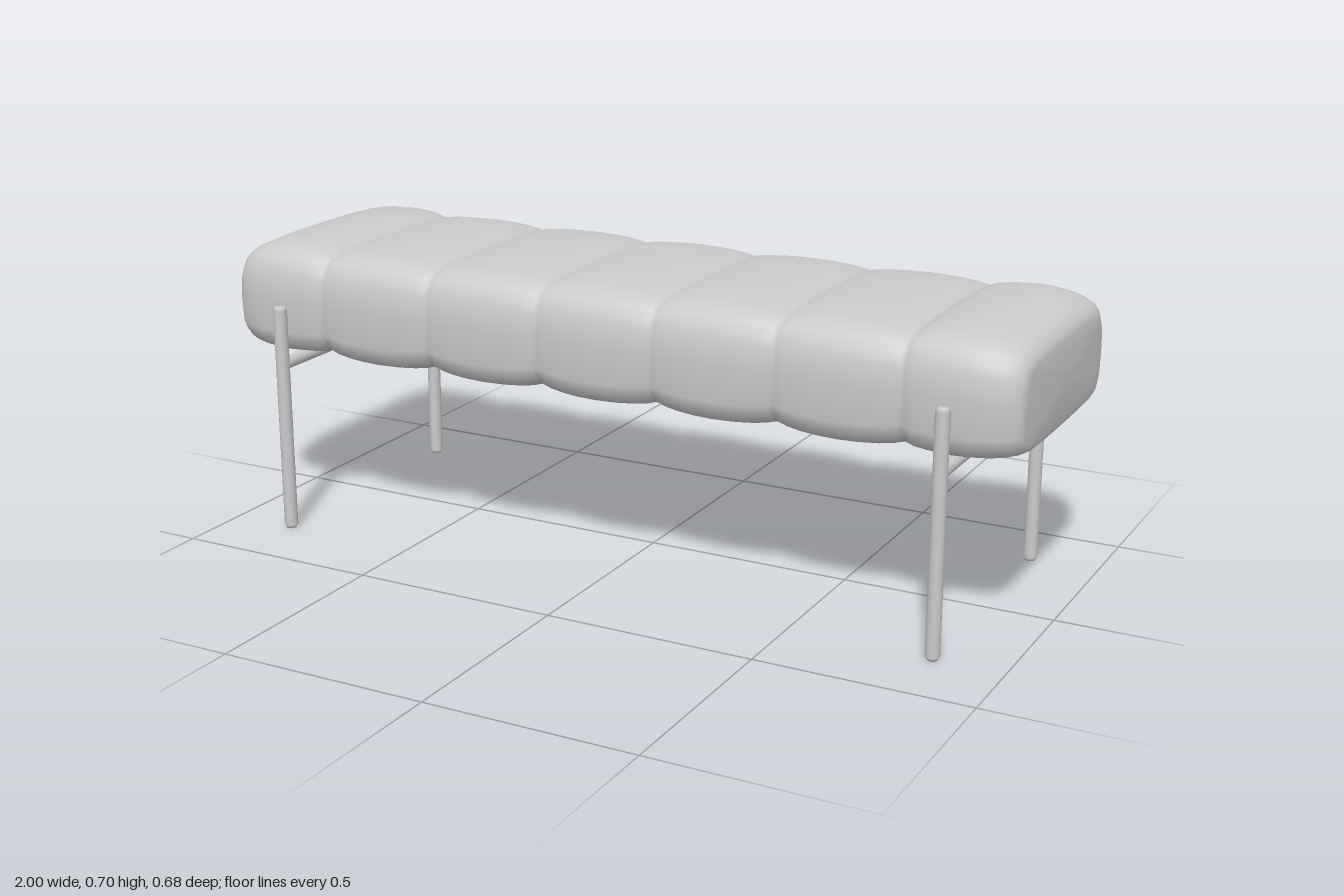
import * as THREE from 'three';

const grey = new THREE.MeshStandardMaterial({ color: 0xcccccc });

function addMesh(parent, geometry, name) {
  const mesh = new THREE.Mesh(geometry, grey);
  mesh.name = name;
  parent.add(mesh);
  return mesh;
}

// Round bar with small bevelled ends, centred on its own y axis
function barGeometry(radius, length, bevel) {
  const h = length / 2;
  const half = [[0, h], [radius * 0.7, h], [radius, h - bevel]];
  const profile = [
    ...half.map(([r, y]) => new THREE.Vector2(r, -y)),
    ...half.reverse().map(([r, y]) => new THREE.Vector2(r, y)),
  ];
  return new THREE.LatheGeometry(profile, 12);
}

// Cushion outline in (z, y), mirrored to a closed loop
function cushionOutline() {
  const side = [
    [0.07, 0.7], [0.14, 0.699], [0.22, 0.695], [0.255, 0.687], [0.28, 0.675], [0.294, 0.652],
    [0.305, 0.625], [0.31, 0.57], [0.305, 0.49], [0.295, 0.465], [0.28, 0.445],
    [0.255, 0.437], [0.22, 0.431], [0.14, 0.428], [0.07, 0.427],
  ];
  return [[0, 0.7], ...side, [0, 0.427], ...side.slice().reverse().map(([z, y]) => [-z, y])];
}

// Loft the outline along x: pinched at the seams, puffed between, rounded at the ends
function cushionGeometry() {
  const mid = 0.563;
  const outline = cushionOutline();
  const stations = []; // x, z scale, y scale, y shift
  const seams = [-0.735, -0.441, -0.147, 0.147, 0.441, 0.735];
  const steps = 10;
  for (let s = 0; s < seams.length - 1; s++) {
    for (let i = s ? 1 : 0; i <= steps; i++) {
      const t = (1 - Math.cos((Math.PI * i) / steps)) / 2;
      const puff = Math.pow(4 * t * (1 - t), 0.6);
      stations.push([seams[s] + t * 0.294, 0.95 + 0.048 * puff, 0.885 + 0.13 * puff, -0.004 * puff]);
    }
  }
  const end = [
    [0.742, 0.963, 0.92, 0], [0.76, 0.98, 0.96, 0], [0.79, 0.993, 0.988, 0.001], [0.84, 1, 1.01, 0.001],
    [0.88, 0.997, 1, 0.001], [0.92, 0.985, 0.965, 0], [0.95, 0.962, 0.92, -0.001],
    [0.972, 0.932, 0.86, -0.003], [0.985, 0.9, 0.795, -0.006], [0.991, 0.865, 0.735, -0.009],
    [0.994, 0.82, 0.67, -0.009], [0.997, 0.6, 0.48, -0.007], [1, 0.25, 0.2, -0.003], [1, 0, 0, 0],
  ];
  stations.push(...end);
  stations.unshift(...end.map(([x, ...rest]) => [-x, ...rest]).reverse());

  const n = outline.length;
  const positions = [];
  const index = [];
  stations.forEach(([x, sz, sy, dy], r) => {
    outline.forEach(([z, y], i) => {
      positions.push(x, mid + dy + (y - mid) * sy, z * sz);
      if (r === stations.length - 1) return;
      const a = r * n + i, b = r * n + ((i + 1) % n);
      index.push(a, b, a + n, b, b + n, a + n);
    });
  });
  const geometry = new THREE.BufferGeometry();
  geometry.setAttribute('position', new THREE.Float32BufferAttribute(positions, 3));
  geometry.setIndex(index);
  geometry.computeVertexNormals();
  // The collapsed end points face straight outwards
  const normals = geometry.attributes.normal;
  for (let i = 0; i < n; i++) {
    normals.setXYZ(i, -1, 0, 0);
    normals.setXYZ(normals.count - 1 - i, 1, 0, 0);
  }
  return geometry;
}

export function createModel() {
  const model = new THREE.Group();
  model.name = 'bench';
  addMesh(model, cushionGeometry(), 'cushion');

  // Two leg frames: a pair of posts joined by a crossbar
  const leg = barGeometry(0.0165, 0.56, 0.009);
  const crossbar = barGeometry(0.0155, 0.634, 0.01);
  for (const side of [1, -1]) {
    const frame = new THREE.Group();
    frame.name = side > 0 ? 'leftLegFrame' : 'rightLegFrame';
    frame.position.x = side * 0.838;
    for (const z of [0.322, -0.322]) {
      addMesh(frame, leg, z > 0 ? 'frontLeg' : 'backLeg').position.set(0, 0.28, z);
    }
    const bar = addMesh(frame, crossbar, 'crossbar');
    bar.rotation.x = Math.PI / 2;
    bar.position.y = 0.418;
    model.add(frame);
  }

  // Long rail under the cushion, with small screw heads
  const rail = addMesh(model, barGeometry(0.0125, 1.63, 0.004), 'rail');
  rail.rotation.z = Math.PI / 2;
  rail.position.y = 0.417;
  const screw = barGeometry(0.009, 0.016, 0.003);
  for (const x of [-0.8, -0.58, -0.29, 0, 0.29, 0.58, 0.8]) {
    addMesh(model, screw, 'screw').position.set(x, 0.405, 0);
  }
  return model;
}
